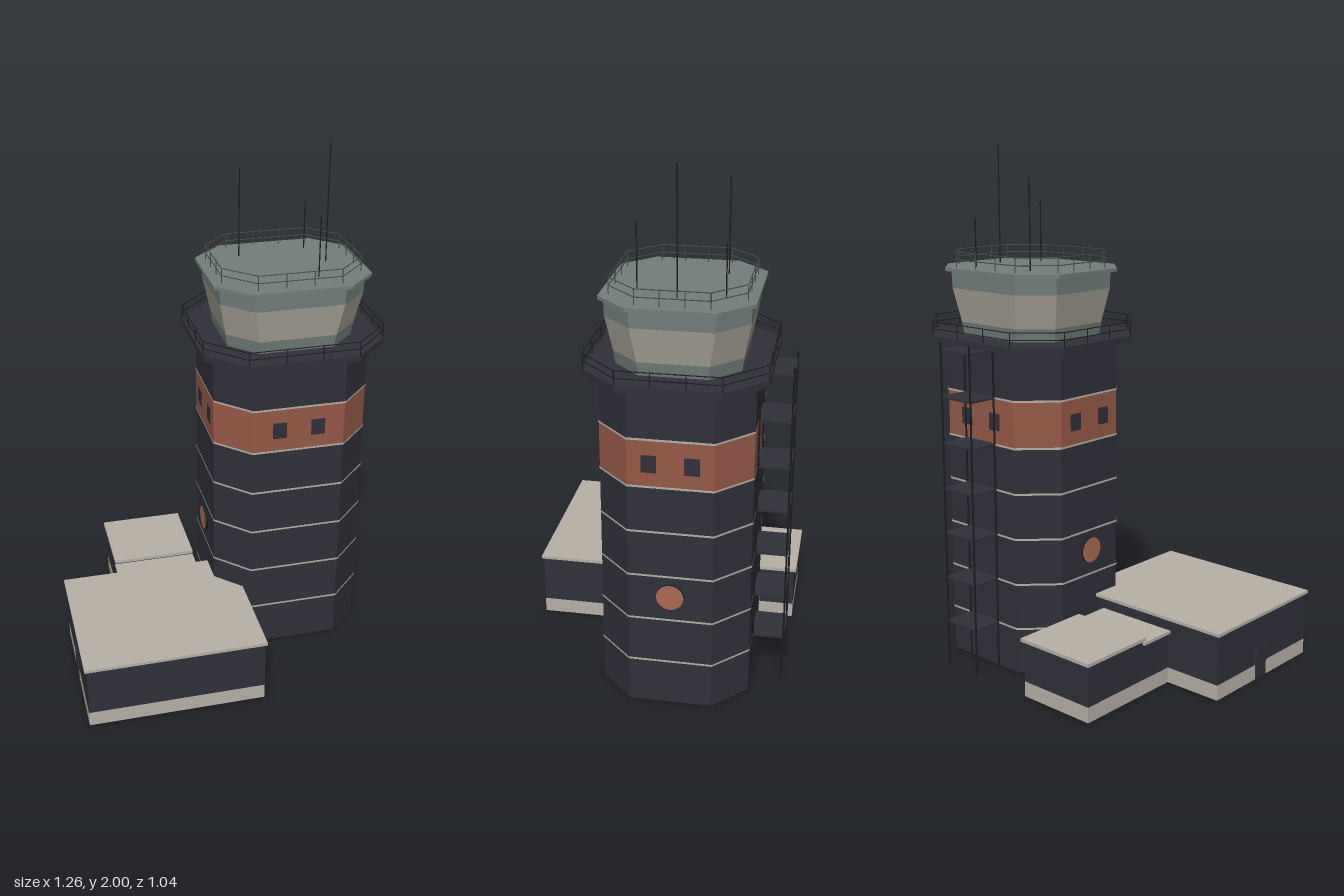
import * as THREE from 'three';

const CX = 0.275, CZ = -0.11; // tower axis

function material(name, color, side = THREE.FrontSide) {
  const m = new THREE.MeshStandardMaterial({ color, side });
  m.name = name;
  return m;
}

// Chamfered rectangle seen from above, counterclockwise
function outline(hx, hz, c) {
  if (!c) return [[-hx, hz], [hx, hz], [hx, -hz], [-hx, -hz]];
  return [[-hx + c, hz], [hx - c, hz], [hx, hz - c], [hx, -hz + c],
    [hx - c, -hz], [-hx + c, -hz], [-hx, -hz + c], [-hx, hz - c]];
}

// Flat-sided skin through rings of [y, halfX, halfZ, chamfer]
function loft(rings, capped) {
  const pos = [];
  const loops = rings.map(([y, hx, hz, c]) => outline(hx, hz, c).map(([x, z]) => [x, y, z]));
  const n = loops[0].length;
  for (let r = 0; r < loops.length - 1; r++) {
    for (let i = 0; i < n; i++) {
      const j = (i + 1) % n, lo = loops[r], hi = loops[r + 1];
      pos.push(...lo[i], ...lo[j], ...hi[j], ...lo[i], ...hi[j], ...hi[i]);
    }
  }
  if (capped) {
    const lo = loops[0], hi = loops[loops.length - 1];
    for (let i = 1; i < n - 1; i++) {
      pos.push(...hi[0], ...hi[i], ...hi[i + 1], ...lo[0], ...lo[i + 1], ...lo[i]);
    }
  }
  const g = new THREE.BufferGeometry();
  g.setAttribute('position', new THREE.Float32BufferAttribute(pos, 3));
  g.computeVertexNormals();
  return g;
}

export function createModel() {
  const root = new THREE.Group();
  root.name = 'controlTower';
  const dark = material('charcoal', 0x30303a, THREE.DoubleSide);
  const beige = material('concrete', 0xb6b0a6, THREE.DoubleSide);
  const glass = material('cabGlass', 0xa9a499, THREE.DoubleSide);
  const teal = material('greyGreen', 0x727e7b, THREE.DoubleSide);
  const rust = material('rustBand', 0x965a47, THREE.DoubleSide);
  const orange = material('badgeOrange', 0xac6850);
  const metal = material('darkMetal', 0x1d1e24);
  const railing = material('railGrey', 0x4a5152);

  function add(parent, name, geometry, mat, x = 0, y = 0, z = 0) {
    const m = new THREE.Mesh(geometry, mat);
    m.name = name;
    m.position.set(x, y, z);
    parent.add(m);
    return m;
  }
  function box(parent, name, mat, x0, x1, y0, y1, z0, z1) {
    return add(parent, name, new THREE.BoxGeometry(x1 - x0, y1 - y0, z1 - z0), mat,
      (x0 + x1) / 2, (y0 + y1) / 2, (z0 + z1) / 2);
  }
  function group(name, x = 0, y = 0, z = 0) {
    const g = new THREE.Group();
    g.name = name;
    g.position.set(x, y, z);
    root.add(g);
    return g;
  }
  // Straight bar between two points
  function bar(parent, name, mat, a, b, r) {
    const p = new THREE.Vector3(...a), q = new THREE.Vector3(...b), d = q.clone().sub(p);
    const m = add(parent, name, new THREE.CylinderGeometry(r, r, d.length(), 5), mat);
    m.position.copy(p).add(q).multiplyScalar(0.5);
    m.quaternion.setFromUnitVectors(new THREE.Vector3(0, 1, 0), d.normalize());
  }

  // Octagonal shaft with rust band and pale joint lines
  const tower = group('tower', CX, 0, CZ);
  const HX = 0.305, HZ = 0.278, C = 0.125;
  const shaft = (name, mat, y0, y1) =>
    add(tower, name, loft([[y0, HX, HZ, C], [y1, HX, HZ, C]]), mat);
  shaft('lowerShaft', dark, 0, 0.895);
  shaft('rustBand', rust, 0.895, 1.075);
  shaft('upperShaft', dark, 1.075, 1.265);
  for (const y of [0.18, 0.36, 0.54, 0.718, 0.895, 1.075]) {
    add(tower, 'jointLine', loft([[y - 0.004, HX + 0.002, HZ + 0.002, C],
      [y + 0.004, HX + 0.002, HZ + 0.002, C]]), beige);
  }

  // Window pairs on the four broad sides, badges on the left and right
  for (const s of [-1, 1]) {
    for (const t of [-0.076, 0.076]) {
      add(tower, 'window', new THREE.BoxGeometry(0.054, 0.065, 0.006), dark, t, 0.983, s * HZ);
      add(tower, 'window', new THREE.BoxGeometry(0.006, 0.065, 0.054), dark, s * HX, 0.983, t);
    }
    const rim = add(tower, 'badgeRim', new THREE.CylinderGeometry(0.05, 0.05, 0.012, 28), metal,
      s * (HX + 0.004), 0.46, 0);
    rim.rotation.z = -s * Math.PI / 2;
    const face = add(tower, 'badgeFace', new THREE.CircleGeometry(0.05, 28), orange,
      s * (HX + 0.011), 0.46, 0);
    face.rotation.y = s * Math.PI / 2;
  }

  // Walkway and glazed cab
  const cab = group('cab', CX, 0, CZ);
  add(cab, 'walkway', loft([[1.262, 0.355, 0.325, 0.14], [1.285, 0.355, 0.325, 0.14]], true), dark);
  const sill = [1.335, 0.252, 0.229, 0.103], head = [1.465, 0.279, 0.253, 0.108];
  add(cab, 'cabBase', loft([[1.285, 0.245, 0.222, 0.1], sill]), teal);
  add(cab, 'cabWindows', loft([sill, head]), glass);
  add(cab, 'cabHead', loft([head, [1.53, 0.281, 0.255, 0.108]]), teal);
  add(cab, 'cabRoof', loft([[1.53, 0.305, 0.271, 0.115], [1.543, 0.305, 0.271, 0.115]], true), teal);

  // Railings: two rails on posts along the octagon
  function fence(name, hx, hz, c, y0, y1, mat) {
    const g = group(name, CX, 0, CZ);
    const pts = outline(hx, hz, c);
    pts.forEach(([x, z], i) => {
      const [u, w] = pts[(i + 1) % pts.length];
      for (const y of [y1, (y0 + y1) / 2]) bar(g, 'rail', mat, [x, y, z], [u, y, w], 0.002);
      const steps = i % 2 ? 1 : 3;
      for (let k = 0; k < steps; k++) {
        const t = k / steps, px = x + (u - x) * t, pz = z + (w - z) * t;
        bar(g, 'post', mat, [px, y0, pz], [px, y1, pz], 0.002);
      }
    });
  }
  fence('walkwayRailing', 0.353, 0.323, 0.14, 1.285, 1.34, metal);
  fence('roofRailing', 0.27, 0.239, 0.11, 1.543, 1.6, railing);

  // Roof antennas
  const antennas = group('antennas');
  for (const [x, z, top] of [[0.14, -0.247, 1.89], [0.41, -0.272, 1.73],
    [0.448, -0.11, 2], [0.372, 0.042, 1.78]]) {
    bar(antennas, 'antenna', metal, [x, 1.54, z], [x, top, z], 0.0025);
  }

  // Rear escape stair: posts and landings
  const stair = group('rearStair');
  for (const x of [0.197, 0.355]) {
    for (const z of [-0.508, -0.392]) bar(stair, 'stairPost', metal, [x, 0, z], [x, 1.285, z], 0.004);
  }
  for (const y of [0.18, 0.36, 0.54, 0.718, 0.895, 1.075, 1.255]) {
    box(stair, 'landing', dark, 0.195, 0.357, y - 0.004, y + 0.004, -0.51, -0.385);
  }

  // Low annexes: pale plinth, dark walls, overhanging roof slab
  function annex(name, x0, x1, z0, z1, h) {
    const g = group(name, (x0 + x1) / 2, 0, (z0 + z1) / 2);
    const a = (x1 - x0) / 2, b = (z1 - z0) / 2;
    add(g, 'plinth', loft([[0, a, b, 0], [0.06, a, b, 0]]), beige);
    add(g, 'walls', loft([[0.06, a, b, 0], [h, a, b, 0]]), dark);
  }
  annex('mainAnnex', -0.626, 0.06, -0.066, 0.511, 0.254);
  box(root, 'mainAnnexRoof', beige, -0.635, 0.067, 0.254, 0.266, -0.075, 0.518);
  annex('rearAnnex', -0.392, -0.073, -0.513, -0.218, 0.218);
  box(root, 'rearAnnexRoof', beige, -0.402, -0.064, 0.218, 0.231, -0.523, -0.21);
  annex('linkAnnex', -0.392, -0.073, -0.218, -0.066, 0.2);
  box(root, 'linkRoof', beige, -0.402, -0.064, 0.2, 0.212, -0.215, -0.066);
  box(root, 'sideDoor', dark, -0.63, -0.624, 0, 0.13, 0.175, 0.24);

  return root;
}
